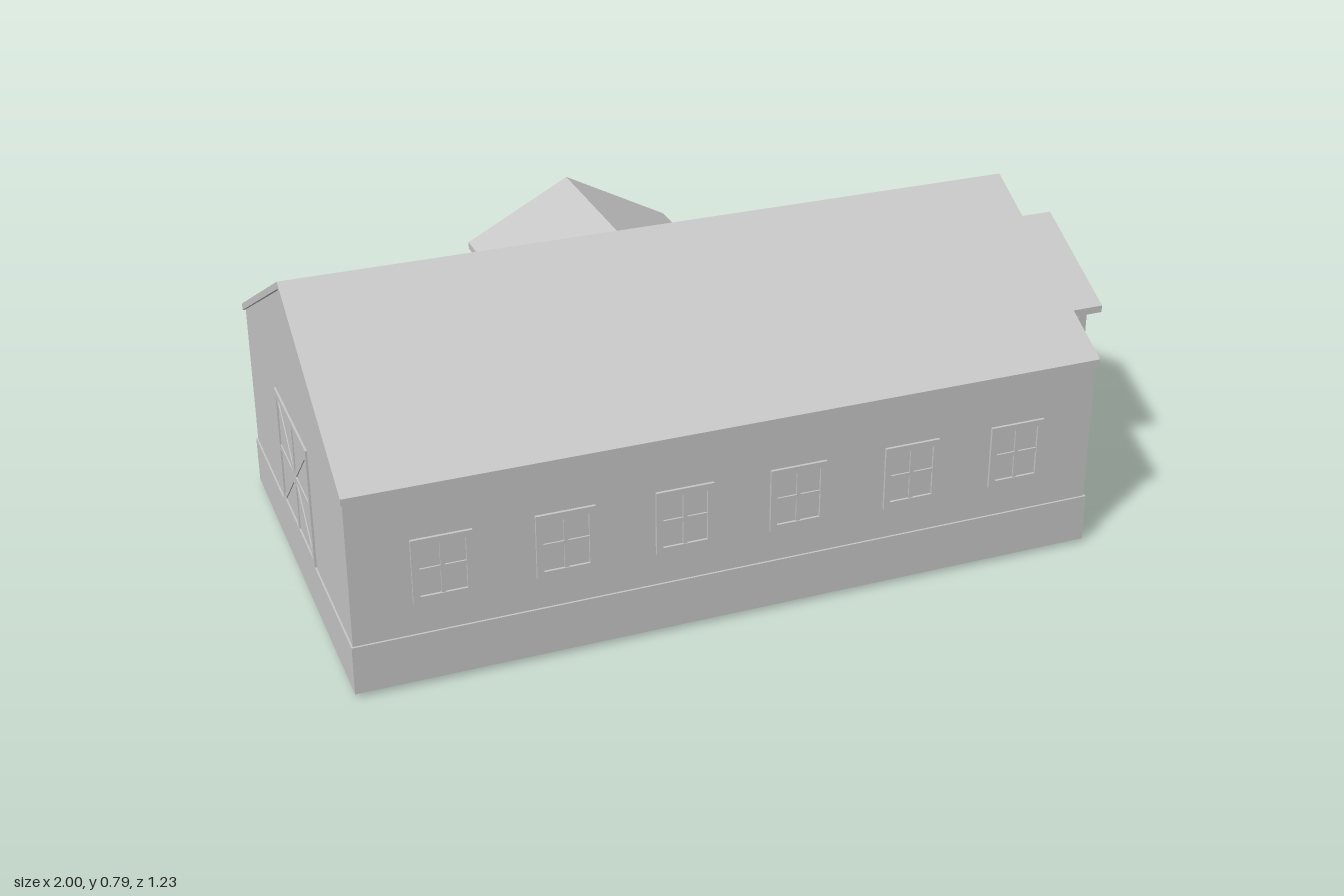
import * as THREE from 'three';

const grey = new THREE.MeshStandardMaterial({ color: 0xc8c8c8 });
grey.name = 'plain grey';

function add(parent, name, geometry, x = 0, y = 0, z = 0) {
  const m = new THREE.Mesh(geometry, grey);
  m.name = name;
  m.position.set(x, y, z);
  parent.add(m);
  return m;
}

// box given by its limits on each axis
function box(parent, name, x0, x1, y0, y1, z0, z1) {
  return add(parent, name, new THREE.BoxGeometry(x1 - x0, y1 - y0, z1 - z0),
    (x0 + x1) / 2, (y0 + y1) / 2, (z0 + z1) / 2);
}

function extrude(points, depth, hole) {
  const toShape = (p) => p.map(([x, y]) => new THREE.Vector2(x, y));
  const shape = new THREE.Shape(toShape(points));
  if (hole) shape.holes.push(new THREE.Path(toShape(hole)));
  return new THREE.ExtrudeGeometry(shape, { depth, bevelEnabled: false });
}

// gable profile of even vertical thickness
function chevron(half, ridge, eave, t, depth) {
  return extrude([[-half, eave - t], [0, ridge - t], [half, eave - t],
    [half, eave], [0, ridge], [-half, eave]], depth);
}

const rect = (x0, x1, y0, y1) => [[x0, y0], [x1, y0], [x1, y1], [x0, y1]];

// flat rectangular trim with an opening
function frame(parent, name, x0, x1, y0, y1, w, depth, z) {
  return add(parent, name,
    extrude(rect(x0, x1, y0, y1), depth, rect(x0 + w, x1 - w, y0 + w, y1 - w)), 0, 0, z);
}

// slanted bar between two points in the xy plane
function bar(parent, name, a, b, width, z0, z1) {
  const dx = b[0] - a[0], dy = b[1] - a[1];
  const m = add(parent, name, new THREE.BoxGeometry(Math.hypot(dx, dy), width, z1 - z0),
    (a[0] + b[0]) / 2, (a[1] + b[1]) / 2, (z0 + z1) / 2);
  m.rotation.z = Math.atan2(dy, dx);
}

// four-pane window facing local +z
function makeWindow() {
  const g = new THREE.Group();
  g.name = 'window';
  frame(g, 'windowFrame', -0.07, 0.07, 0.21, 0.37, 0.016, 0.008, -0.001);
  box(g, 'windowPane', -0.055, 0.055, 0.225, 0.355, -0.002, 0.001);
  box(g, 'windowMullion', -0.005, 0.005, 0.225, 0.355, 0, 0.005);
  box(g, 'windowCrossbar', -0.055, 0.055, 0.285, 0.295, 0, 0.005);
  return g;
}

// gabled porch facing local +z; shift moves the door and steps sideways
function makePorch(name, shift, wall, roofBack) {
  const g = new THREE.Group();
  g.name = name;
  const front = 0.167, p0 = 0.132, p1 = 0.156;
  add(g, 'porchRoof', chevron(0.278, 0.652, 0.505, 0.018, front - roofBack), 0, 0, roofBack);

  // steps
  box(g, 'porchSlab', shift - 0.193, shift + 0.193, 0.008, 0.115, wall - 0.01, 0.132);
  const d = shift * 1.45;
  box(g, 'doorStep', d - 0.163, d + 0.163, 0.115, 0.14, wall - 0.01, 0.11);

  // posts and side beams
  for (const s of [-1, 1]) {
    const c = s * 0.218;
    box(g, 'post', c - 0.012, c + 0.012, 0, 0.49, p0, p1);
    box(g, 'sideBeam', c - 0.016, c + 0.016, 0.488, 0.506, wall - 0.005, p1 + 0.006);
    bar(g, 'trussStrut', [0, 0.515], [s * 0.09, 0.585], 0.014, p0 + 0.004, p1 - 0.004);
  }

  // front truss
  box(g, 'crossBeam', -0.23, 0.23, 0.487, 0.514, p0, p1);
  add(g, 'rafters', chevron(0.23, 0.634, 0.512, 0.02, p1 - p0), 0, 0, p0);
  box(g, 'kingPost', -0.009, 0.009, 0.51, 0.625, p0, p1);

  // entrance
  frame(g, 'doorFrame', d - 0.158, d + 0.158, 0.13, 0.438, 0.017, 0.009, wall - 0.001);
  box(g, 'doorPanel', d - 0.142, d + 0.142, 0.145, 0.422, wall - 0.004, wall + 0.003);
  return g;
}

// double barn door facing local +z
function makeBarnDoor() {
  const g = new THREE.Group();
  g.name = 'barnDoor';
  frame(g, 'barnDoorFrame', -0.17, 0.17, 0.132, 0.438, 0.016, 0.005, 0);
  box(g, 'barnDoorPanel', -0.156, 0.156, 0.146, 0.424, -0.002, 0.001);
  box(g, 'barnDoorStile', -0.01, 0.01, 0.146, 0.424, 0, 0.004);
  box(g, 'barnDoorRail', -0.156, 0.156, 0.278, 0.292, 0, 0.004);
  for (const s of [-1, 1]) {
    bar(g, 'barnDoorBrace', [-0.152, 0.285 - s * 0.135], [0.152, 0.285 + s * 0.135], 0.014, 0, 0.0035);
  }
  return g;
}

export function createModel() {
  const model = new THREE.Group();
  model.name = 'house';

  // foundation, walls and main roof
  box(model, 'foundation', -0.999, 0.834, 0.01, 0.13, -0.429, 0.608);
  const walls = add(model, 'walls', extrude(
    [[-0.513, 0.12], [0.513, 0.12], [0.513, 0.497], [0, 0.768], [-0.513, 0.497]], 1.825), -0.995, 0, 0.09);
  walls.rotation.y = Math.PI / 2;
  const roof = add(model, 'mainRoof', chevron(0.528, 0.785, 0.505, 0.018, 1.835), -1, 0, 0.085);
  roof.rotation.y = Math.PI / 2;

  // windows along both long walls
  for (const x of [-0.786, -0.503, -0.22, 0.06, 0.35, 0.628]) {
    const w = makeWindow();
    w.position.set(x, 0, 0.603);
    model.add(w);
  }
  for (const x of [-0.749, -0.467, 0.3, 0.572]) {
    const w = makeWindow();
    w.position.set(x, 0, -0.423);
    w.rotation.y = Math.PI;
    model.add(w);
  }

  // porches on the left end and the back
  const endPorch = makePorch('endPorch', -0.015, -0.003, -0.004);
  endPorch.position.set(0.833, 0, 0.072);
  endPorch.rotation.y = Math.PI / 2;
  const backPorch = makePorch('backPorch', 0.015, -0.024, -0.29);
  backPorch.position.set(-0.083, 0, -0.447);
  backPorch.rotation.y = Math.PI;
  model.add(endPorch, backPorch);

  // barn door on the right end
  const barn = makeBarnDoor();
  barn.position.set(-0.995, 0, 0.084);
  barn.rotation.y = -Math.PI / 2;
  model.add(barn);

  return model;
}
